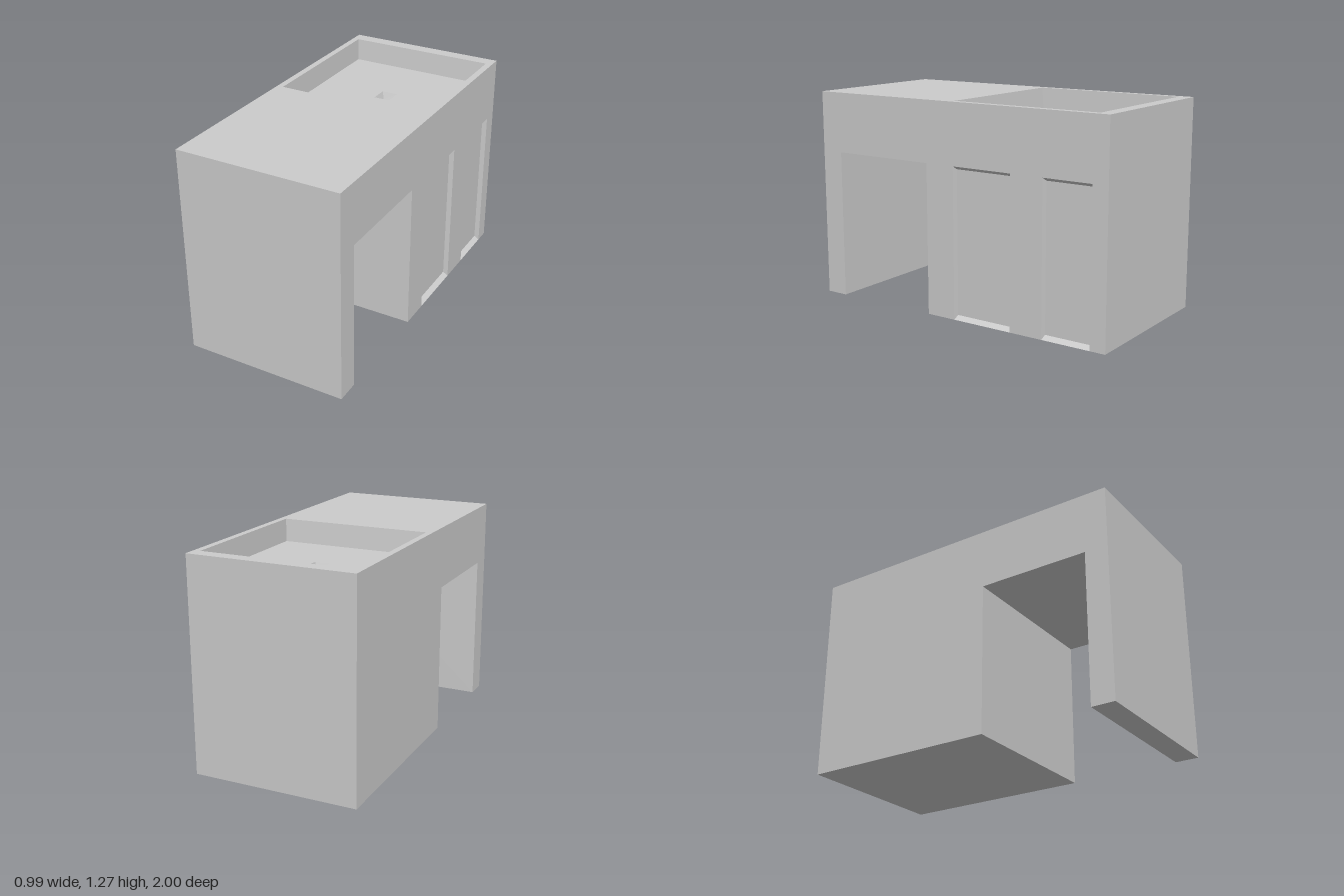
import * as THREE from 'three';

const W = 0.99, H = 1.27, HALF = W / 2;
const material = new THREE.MeshStandardMaterial({ color: 0xcccccc, flatShading: true });

function mesh(name, geometry) {
  const m = new THREE.Mesh(geometry, material);
  m.name = name;
  return m;
}

const toVectors = pts => pts.map(([x, y]) => new THREE.Vector2(x, y));

// Flat face in the local xy plane, optionally with holes
function face(name, outline, holes = []) {
  const shape = new THREE.Shape(toVectors(outline));
  for (const h of holes) shape.holes.push(new THREE.Path(toVectors(h)));
  return mesh(name, new THREE.ShapeGeometry(shape));
}

// Walls joining a front loop to a back loop; counter-clockwise loops face outward
function band(name, front, zFront, back, zBack, skip = -1) {
  const pos = [];
  front.forEach((p, i) => {
    if (i === skip) return;
    const j = (i + 1) % front.length, q = front[j];
    const pb = [...back[i], zBack], qb = [...back[j], zBack];
    const pf = [...p, zFront], qf = [...q, zFront];
    pos.push(...pb, ...qb, ...qf, ...pb, ...qf, ...pf);
  });
  const g = new THREE.BufferGeometry();
  g.setAttribute('position', new THREE.Float32BufferAttribute(pos, 3));
  g.computeVertexNormals();
  return mesh(name, g);
}

const rect = (x0, y0, x1, y1) => [[x0, y0], [x1, y0], [x1, y1], [x0, y1]];

// Sunken pocket with tapered walls; inset is [left, bottom, right, top]
function recess(name, [x0, y0, x1, y1], [l, b, r, t], depth, holes = []) {
  const group = new THREE.Group();
  group.name = name;
  const outer = rect(x0, y0, x1, y1);
  const inner = rect(x0 + l, y0 + b, x1 - r, y1 - t);
  group.add(band(name + 'Walls', [...outer].reverse(), 0, [...inner].reverse(), -depth));
  const floor = face(name + 'Floor', inner, holes);
  floor.position.z = -depth;
  group.add(floor);
  return group;
}

export function createModel() {
  const model = new THREE.Group();
  model.name = 'counterBlock';

  // Side profile (x = towards the back, y = up) with the walk-through opening
  const profile = [
    [-1, 0], [-0.86, 0], [-0.86, 0.905], [-0.19, 0.905],
    [-0.19, 0], [1, 0], [1, H], [-1, H],
  ];
  const doors = [[0, 0, 0.39, 0.905], [0.6, 0, 0.905, 0.905]];

  // Right side: face notched around the doors, outer walls and door recesses
  const side = new THREE.Group();
  side.name = 'body';
  side.rotation.y = Math.PI / 2;
  side.position.x = HALF;
  const notches = doors.flatMap(([a, b, c, d]) => [[a, b], [a, d], [c, d], [c, b]]);
  side.add(face('rightSide', [...profile.slice(0, 5), ...notches, ...profile.slice(5)]));
  side.add(band('outerWalls', profile, 0, profile, -W, 6));
  doors.forEach((d, i) => side.add(recess('door' + (i + 1), d, [0.006, 0.022, 0.004, 0.02], 0.03)));
  model.add(side);

  // Plain left side
  const left = face('leftSide', profile.map(([u, y]) => [-u, y]).reverse());
  left.rotation.y = -Math.PI / 2;
  left.position.x = -HALF;
  model.add(left);

  // Top surface with the shallow basin and its square drain
  const top = new THREE.Group();
  top.name = 'top';
  top.rotation.x = -Math.PI / 2;
  top.position.y = H;
  const basin = [-0.457, -0.015, 0.455, 0.922];
  const drain = [-0.052, 0.39, 0.047, 0.5];
  const basinDepth = 0.135;
  top.add(face('topSurface', rect(-HALF, -1, HALF, 1), [rect(...basin)]));
  top.add(recess('basin', basin, [0.008, 0.015, 0.008, 0.015], basinDepth, [rect(...drain)]));
  const drainPocket = recess('drain', drain, [0.016, 0.02, 0.014, 0.02], 0.045);
  drainPocket.position.z = -basinDepth;
  top.add(drainPocket);
  model.add(top);

  return model;
}
